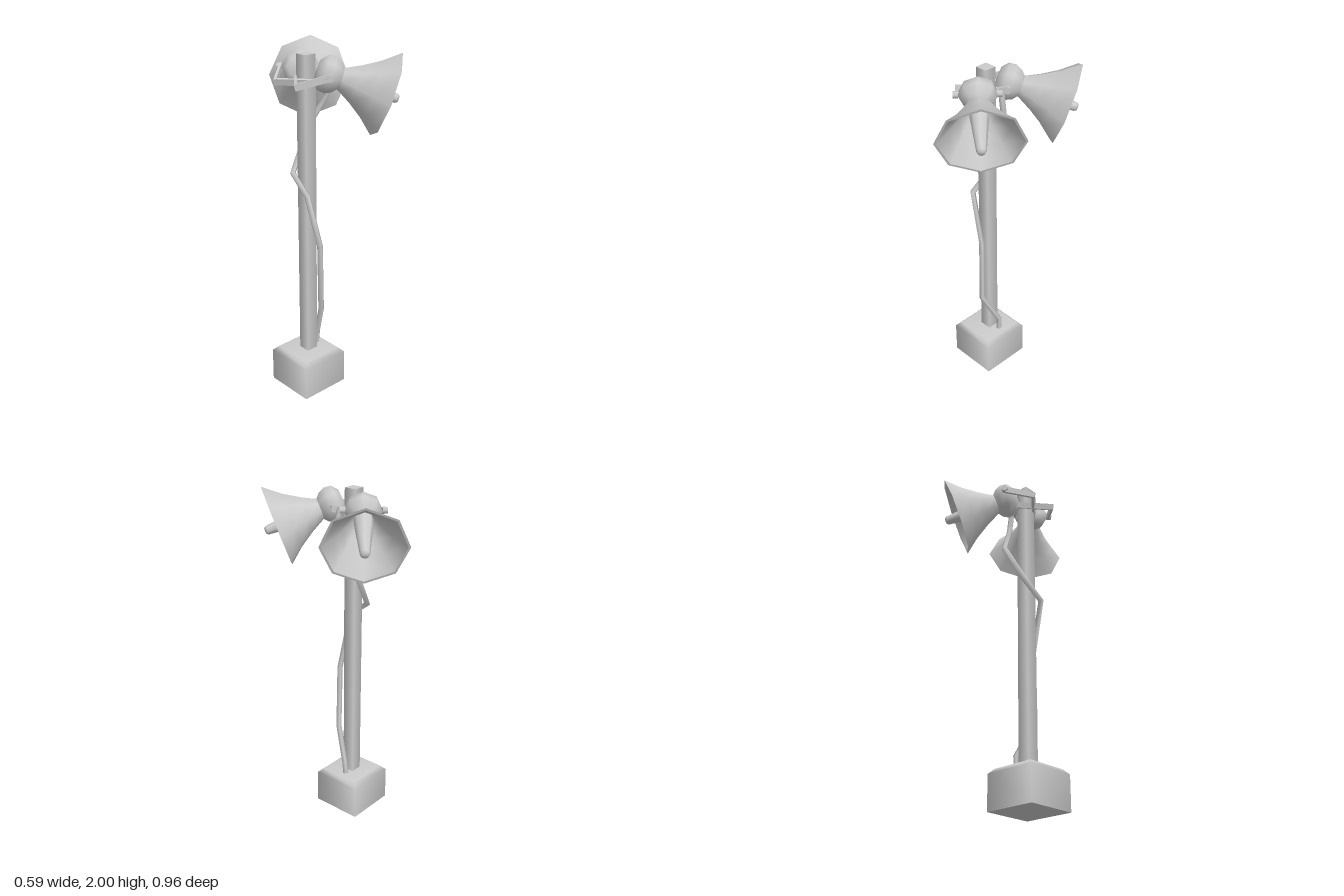
import * as THREE from 'three';

const material = new THREE.MeshStandardMaterial({ color: 0xcccccc });
const MID_Z = -0.0025;

function add(parent, name, geometry, x = 0, y = 0, z = 0) {
  const mesh = new THREE.Mesh(geometry, material);
  mesh.name = name;
  mesh.position.set(x, y, z);
  parent.add(mesh);
  return mesh;
}

// Turned shape around y from [radius, height] pairs
const lathe = (points, sides) =>
  new THREE.LatheGeometry(points.map(([r, h]) => new THREE.Vector2(r, h)), sides);

// Turned shape whose axis is +z
const turned = (points, sides = 8) => lathe(points, sides).rotateX(Math.PI / 2);

// One loudspeaker; the origin is the centre of its mouth, which opens to +z
function makeSpeaker() {
  const speaker = new THREE.Group();
  speaker.name = 'speaker';
  add(speaker, 'driver', turned([
    [0, -0.388], [0.062, -0.382], [0.098, -0.35], [0.102, -0.31], [0.085, -0.275], [0.055, -0.25],
  ]));
  add(speaker, 'hornOutside', turned([
    [0.05, -0.275], [0.066, -0.24], [0.104, -0.17], [0.16, -0.085], [0.232, 0],
  ]));
  add(speaker, 'hornRim', turned([[0.232, 0], [0.219, 0]]));
  add(speaker, 'hornInside', turned([
    [0.219, 0], [0.15, -0.085], [0.094, -0.17], [0.056, -0.24], [0, -0.245],
  ]));
  add(speaker, 'hornCone', turned([[0.053, -0.242], [0.048, -0.16], [0.026, 0.055], [0.018, 0.068], [0, 0.07]]));
  return speaker;
}

// U-shaped yoke; the origin is the pivot through the driver
function makeBracket() {
  const bracket = new THREE.Group();
  bracket.name = 'bracket';
  const reach = 0.175;
  for (const side of [-1, 1]) {
    add(bracket, 'bracketArm', new THREE.BoxGeometry(0.014, 0.036, reach + 0.02), side * 0.105, 0, -reach / 2);
    add(bracket, 'bracketBolt', new THREE.CylinderGeometry(0.02, 0.02, 0.028, 6).rotateZ(Math.PI / 2), side * 0.112, 0, 0);
  }
  add(bracket, 'bracketBack', new THREE.BoxGeometry(0.224, 0.036, 0.014), 0, 0, -reach);
  return bracket;
}

export function createModel() {
  const model = new THREE.Group();
  model.name = 'loudspeakerPost';

  // Square foot with a bevelled top
  const k = Math.SQRT2;
  add(model, 'base', lathe([[0.1525 * k, 0], [0.1525 * k, 0.2], [0.125 * k, 0.228], [0, 0.23]], 4)
    .rotateY(Math.PI / 4), -0.148, 0, MID_Z);
  add(model, 'baseUnderside', new THREE.PlaneGeometry(0.305, 0.305).rotateX(Math.PI / 2), -0.148, 0, MID_Z);

  // Square post
  add(model, 'post', new THREE.CylinderGeometry(0.036 * k, 0.036 * k, 1.79, 4)
    .rotateY(Math.PI / 4), -0.145, 1.095, MID_Z);

  // Loose cable winding round the post, one tube section per bend
  const curve = new THREE.CatmullRomCurve3([
    [-0.075, 0.2, -0.015], [-0.066, 0.31, -0.01], [-0.12, 0.51, 0.083], [-0.12, 0.91, 0.075],
    [-0.2, 1.23, 0.062], [-0.188, 1.33, -0.072], [-0.05, 1.58, -0.088], [0.0, 1.77, 0.01], [-0.03, 1.9, 0],
  ].map((p) => new THREE.Vector3(...p)));
  curve.getPointAt = (t, target) => curve.getPoint(t, target);
  curve.getTangentAt = (t, target) => curve.getTangent(t, target);
  add(model, 'cable', new THREE.TubeGeometry(curve, curve.points.length - 1, 0.017, 5));

  // Two speakers, mirrored front to back, with their brackets
  for (const side of [1, -1]) {
    const yaw = Math.PI / 2 - side * 0.707;
    const speaker = makeSpeaker();
    speaker.rotation.set(0.349, yaw, 0, 'YXZ');
    speaker.position.set(0.142, 1.781, MID_Z + side * 0.306);
    const bracket = makeBracket();
    bracket.rotation.set(-0.26, yaw, 0, 'YXZ');
    bracket.position.set(-0.087, 1.895, MID_Z + side * 0.115);
    model.add(speaker, bracket);
  }
  return model;
}
